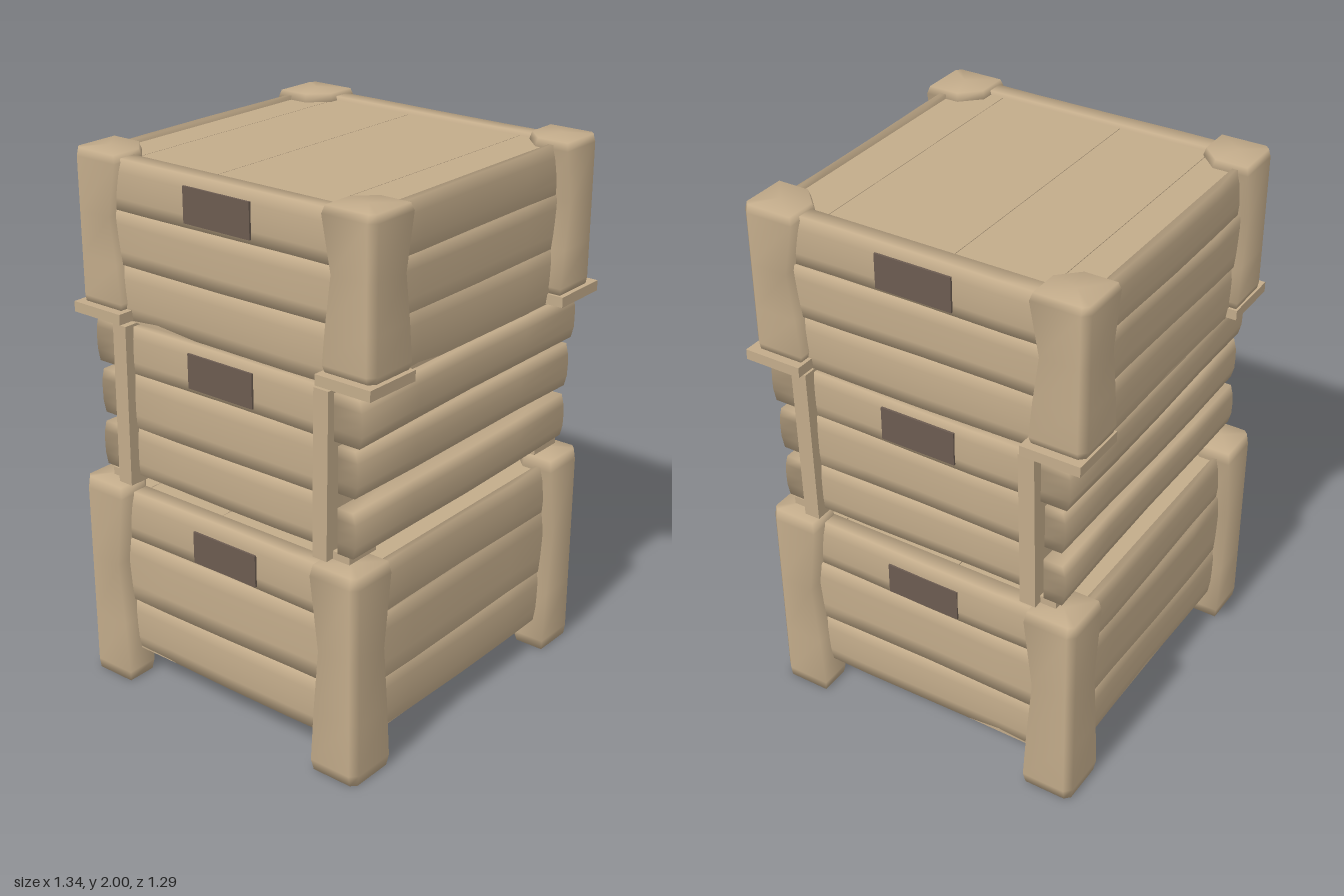
import * as THREE from 'three';
import { mergeVertices } from 'three/addons/utils/BufferGeometryUtils.js';

const wood = new THREE.MeshStandardMaterial({ color: 0xc2ab8a });
wood.name = 'wood';
const dark = new THREE.MeshStandardMaterial({ color: 0x6b5b50 });
dark.name = 'darkHandle';

function add(group, name, geometry, material = wood) {
  const mesh = new THREE.Mesh(geometry, material);
  mesh.name = name;
  group.add(mesh);
  return mesh;
}

// Plain box from its limits
function box(group, name, x0, x1, y0, y1, z0, z1, material) {
  const mesh = add(group, name, new THREE.BoxGeometry(x1 - x0, y1 - y0, z1 - z0), material);
  mesh.position.set((x0 + x1) / 2, (y0 + y1) / 2, (z0 + z1) / 2);
  return mesh;
}

// Worn board along x, outer face towards +z: edges eased, face slightly wavy, smooth shaded
function boardGeometry(length, height, depth, ease, seed) {
  let g = new THREE.BoxGeometry(length, height, depth, 4, 4, 1);
  const p = g.attributes.position;
  for (let i = 0; i < p.count; i++) {
    const x = p.getX(i), y = p.getY(i);
    if (p.getZ(i) > 0) {
      const edge = Math.pow(Math.abs(2 * y / height), 3);
      p.setZ(i, depth / 2 - ease * edge + 0.004 * Math.sin(seed + 5 * x));
    }
  }
  g.deleteAttribute('normal');
  g.deleteAttribute('uv');
  g = mergeVertices(g);
  g.computeVertexNormals();
  return g;
}

// Board on one side of a crate; side 0 front, 1 left, 2 back, 3 right
function board(group, name, side, length, y0, y1, out, depth, ease) {
  const mesh = add(group, name, boardGeometry(length, y1 - y0, depth, ease, side * 2 + y0 * 9));
  const a = side * Math.PI / 2;
  const r = out - depth / 2;
  mesh.position.set(Math.sin(a) * r, (y0 + y1) / 2, Math.cos(a) * r);
  mesh.rotation.y = a;
  return mesh;
}

// Corner post: chamfered section swept upwards with a narrower waist
function post(group, sx, sz, X, Z, w, y0, y1) {
  const h = y1 - y0;
  const rows = [[0, 0.96, 0.006], [0.05, 1, 0], [0.3, 0.93, 0], [0.6, 0.82, 0], [0.94, 1, 0], [1, 0.96, 0.008]];
  const pos = [], idx = [];
  for (const [t, s, inset] of rows) {
    const c = 0.025, v = w * s;
    const ring = [[c, inset], [v, inset], [v, v * 0.65], [v * 0.65, v], [inset, v], [inset, c]];
    if (sx * sz < 0) ring.reverse();
    for (const [a, b] of ring) pos.push(sx * (X - a), y0 + h * t - (t === 1 ? 0.006 : 0), sz * (Z - b));
  }
  const n = 6, last = (rows.length - 1) * n;
  for (let r = 0; r < rows.length - 1; r++) {
    for (let i = 0; i < n; i++) {
      const a = r * n + i, b = r * n + (i + 1) % n;
      idx.push(a, a + n, b, b, a + n, b + n);
    }
  }
  const low = pos.length / 3;
  pos.push(sx * (X - w * 0.45), y0, sz * (Z - w * 0.45), sx * (X - w * 0.45), y1, sz * (Z - w * 0.45));
  for (let i = 0; i < n; i++) {
    const j = (i + 1) % n;
    idx.push(low, i, j, low + 1, last + j, last + i);
  }
  const g = new THREE.BufferGeometry();
  g.setAttribute('position', new THREE.Float32BufferAttribute(pos, 3));
  g.setIndex(idx);
  g.computeVertexNormals();
  return add(group, 'cornerPost', g);
}

// Closed crate: three boards per side, floor and recessed lid boards
function closedCrate(name, seams, X, zFront, zBack) {
  const g = new THREE.Group();
  g.name = name;
  const y0 = seams[0], y1 = seams[3];
  for (let k = 0; k < 3; k++) {
    const ease = k === 1 ? 0.003 : 0.008;
    for (let side = 0; side < 4; side++) {
      const across = side % 2 === 1;
      const out = across ? X : side === 0 ? zFront : zBack;
      const wall = board(g, 'wallBoard', side, across ? zFront + zBack - 0.01 : 2 * X - 0.02,
        seams[k], seams[k + 1], out, across ? 0.07 : 0.03, ease);
      if (across) wall.position.z = (zFront - zBack) / 2;
    }
  }
  box(g, 'floor', -X + 0.01, X - 0.01, y0, y0 + 0.03, -zBack + 0.01, zFront - 0.01);
  const cuts = [-zBack + 0.02, -0.45, -0.1, 0.38, zFront - 0.02];
  for (let i = 0; i < 4; i++) {
    box(g, 'lidBoard', -X + 0.06, X - 0.06, y1 - 0.05, y1 - 0.015, cuts[i], cuts[i + 1] - 0.002);
  }
  return g;
}

// Dark handle plate on each side
function handles(group, X, y0, y1) {
  for (const s of [-1, 1]) {
    const m = box(group, 'handlePlate', -0.004, 0.004, y0, y1, -0.15, 0.135, dark);
    m.position.x = s * X;
  }
}

export function createModel() {
  const model = new THREE.Group();
  model.name = 'crateStack';
  const corners = [[1, 1], [-1, 1], [1, -1], [-1, -1]];

  // Bottom crate
  const bottom = closedCrate('bottomCrate', [0.115, 0.32, 0.57, 0.76], 0.61, 0.57, 0.6);
  for (const [sx, sz] of corners) post(bottom, sx, sz, 0.668, sz > 0 ? 0.61 : 0.64, 0.19, 0, 0.8);
  handles(bottom, 0.613, 0.585, 0.705);
  model.add(bottom);

  // Middle crate: inner box, slats front and back, boarded sides
  const middle = new THREE.Group();
  middle.name = 'middleCrate';
  box(middle, 'innerBox', -0.56, 0.56, 0.82, 1.4, -0.46, 0.46);
  const slats = [[0.84, 1.005, 0.572], [1.05, 1.215, 0.575], [1.235, 1.4, 0.588]];
  slats.forEach(([y0, y1, out], i) => {
    for (const side of [0, 2]) {
      const s = board(middle, 'slat', side, 1.225, y0, y1, out, i === 2 ? 0.11 : 0.08, 0.012);
      s.rotation.z = [0.008, -0.006, 0.007][i];
    }
  });
  const rows = [0.835, 1.02, 1.225, 1.4];
  for (let k = 0; k < 3; k++) {
    for (const side of [1, 3]) board(middle, 'sideBoard', side, 0.88, rows[k], rows[k + 1], 0.605, 0.06, 0.005);
  }
  for (const [sx, sz] of corners) {
    const upright = box(middle, 'sideUpright', -0.04, 0.04, 0.81, 1.41, -0.03, 0.03);
    upright.position.x = sx * 0.602;
    upright.position.z = sz * 0.445;
    upright.rotation.x = 0.015;
    const foot = box(middle, 'foot', -0.07, 0.07, 0.808, 0.838, -0.06, 0.06);
    foot.position.x = sx * 0.54;
    foot.position.z = sz * 0.48;
  }
  handles(middle, 0.61, 1.245, 1.37);
  model.add(middle);

  // Top crate: posts standing on small plates
  const top = closedCrate('topCrate', [1.41, 1.61, 1.8, 1.98], 0.6, 0.58, 0.61);
  for (const [sx, sz] of corners) {
    const shift = sz > 0 ? 0.015 : 0;
    post(top, sx, sz, 0.628 + sx * shift, sz > 0 ? 0.63 : 0.64, 0.2, 1.45, 2);
    const plate = box(top, 'postPlate', -0.115, 0.115, 1.415, 1.453, -0.11, 0.11);
    plate.position.x = sx * 0.54 + shift;
    plate.position.z = sz * 0.533;
    plate.rotation.z = sx * 0.01;
  }
  handles(top, 0.605, 1.82, 1.945);
  model.add(top);

  return model;
}
